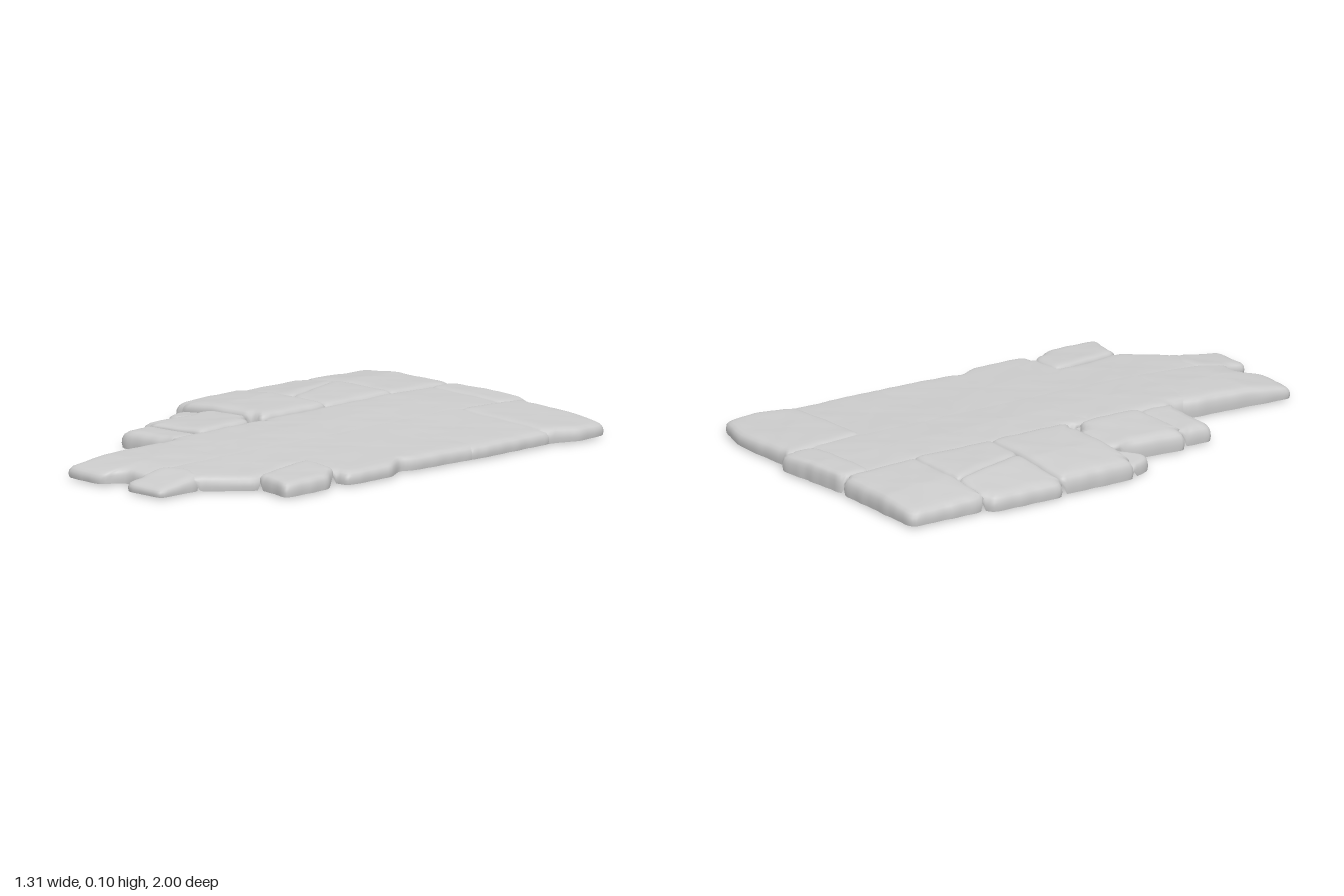
import * as THREE from 'three';

// The paving is an open-bottomed shell, so both sides show
const material = new THREE.MeshStandardMaterial({ color: 0xcccccc, side: THREE.DoubleSide });

// Smooth, repeatable unevenness of worn stone
const wobble = (x, z) =>
  Math.sin(x * 17 + z * 9) * Math.sin(z * 15 - x * 6 + 1) * 0.6 + Math.sin(x * 43 + 2) * Math.sin(z * 39) * 0.4;

// The paving falls away towards its sides and ends
const crown = (x, z) =>
  0.085 - 0.045 * Math.max(0, x) - 0.1 * Math.max(0, -x - 0.43)
  - 0.02 * Math.max(0, z - 0.4) - 0.13 * Math.max(0, z - 0.8) - 0.04 * Math.max(0, -z - 0.65);

const rect = (x0, x1, z0, z1) => [[x0, z0], [x1, z0], [x1, z1], [x0, z1]];

// Split the outline into short steps and soften its corners
function outline(corners, step = 0.02) {
  let pts = [];
  corners.forEach(([x, z], i) => {
    const [x2, z2] = corners[(i + 1) % corners.length];
    const n = Math.max(1, Math.round(Math.hypot(x2 - x, z2 - z) / step));
    for (let k = 0; k < n; k++) {
      pts.push(new THREE.Vector2(x + ((x2 - x) * k) / n, z + ((z2 - z) * k) / n));
    }
  });
  const n = pts.length;
  for (let pass = 0; pass < 2; pass++) {
    pts = pts.map((p, i) => p.clone().multiplyScalar(2).add(pts[(i + n - 1) % n]).add(pts[(i + 1) % n]).divideScalar(4));
  }
  return pts.map((p) => p.clone().addScalar(0.004 * wobble(p.x * 2, p.y * 2)));
}

function inside([x, z], corners) {
  let hit = false;
  corners.forEach(([x1, z1], i) => {
    const [x2, z2] = corners[(i + 1) % corners.length];
    if (z1 > z !== z2 > z && x < x1 + ((z - z1) / (z2 - z1)) * (x2 - x1)) hit = !hit;
  });
  return hit;
}

// Rings of a slab from its foot to the middle of its top: [inset, share of height, scale to centre]
const EDGE = [[0.003, 0, 1], [0, 0.3, 1], [0.002, 0.6, 1], [0.009, 0.82, 1], [0.022, 0.94, 1]];
const RINGS = [...EDGE, ...[1, 0.8, 0.6, 0.4, 0.2, 0].map((s) => [0.042, 1, s])];

// lift raises the top, tilt slopes it along x, base is the height of the foot
function buildSlab({ name, corners, lift = 0, tilt = 0, base = 0.009, round = 1 }, stones) {
  const pts = outline(corners);
  const n = pts.length;
  const box = new THREE.Box2().setFromPoints(pts);
  const half = box.getSize(new THREE.Vector2()).multiplyScalar(0.5);
  const centre = box.getCenter(new THREE.Vector2());
  const moved = (p, inset, scale) => new THREE.Vector2(
    centre.x + (p.x - centre.x) * (1 - inset / half.x) * scale,
    centre.y + (p.y - centre.y) * (1 - inset / half.y) * scale);
  // Sides that meet a neighbour stop at a shallow joint instead of the ground
  const joined = pts.map((p) => {
    const probe = moved(p, -0.025, 1).toArray();
    return stones.some((s) => s.corners !== corners && inside(probe, s.corners));
  });
  const position = [];
  const index = [];
  RINGS.forEach(([inset, share, scale], r) => {
    pts.forEach((p, i) => {
      const q = moved(p, inset * round - (joined[i] ? 0.008 * (1 - share) : 0), scale);
      const top = crown(q.x, q.y) + lift + tilt * (q.x - centre.x) + 0.002 * wobble(q.x, q.y);
      const foot = joined[i] ? Math.min(top, crown(q.x, q.y)) - 0.018 : base;
      position.push(q.x, foot + (top - foot) * share, q.y);
      if (r < RINGS.length - 1) {
        const a = r * n + i, b = r * n + ((i + 1) % n);
        index.push(a, a + n, b, b, a + n, b + n);
      }
    });
  });
  const geometry = new THREE.BufferGeometry();
  geometry.setAttribute('position', new THREE.Float32BufferAttribute(position, 3));
  geometry.setIndex(index);
  geometry.computeVertexNormals();
  const mesh = new THREE.Mesh(geometry, material);
  mesh.name = name;
  return mesh;
}

export function createModel() {
  const stones = [];
  const add = (name, corners, options) => stones.push({ name, corners, ...options });
  // A run of rectangular slabs between successive joints; overlap fuses worn joints
  const addCourse = (name, x0, x1, joints, overlap) =>
    joints.slice(1).forEach((z, i) => add(`${name}Slab${i + 1}`, rect(x0, x1, joints[i] - overlap, z + overlap)));

  // Right-hand edge, back to front
  add('rightBackSlab', rect(-0.625, -0.175, -0.975, -0.655), { lift: 0.008 });
  add('rightMiddleSlab', rect(-0.635, -0.18, -0.325, 0), { lift: 0.016 });
  add('rightFrontSlab', rect(-0.445, -0.18, 0.33, 0.47), { lift: -0.008, tilt: 0.03 });
  add('rightWedgeSlab', [[-0.44, 0], [-0.24, 0.015], [-0.18, 0.08], [-0.18, 0.315], [-0.475, 0.335]], { lift: 0.002, tilt: 0.05 });
  add('brokenShard', [[-0.62, -0.03], [-0.43, -0.02], [-0.46, 0.05], [-0.54, 0.125], [-0.575, 0.09]], { lift: -0.02, base: 0.003, round: 0.6 });

  // Slab split by a slanting crack
  const crack = [[-0.455, -0.655], [-0.36, -0.33]];
  add('crackedSlabOuter', [[-0.655, -0.635], [-0.6, -0.655], ...crack, [-0.655, -0.325]], { lift: 0.008, tilt: 0.03 });
  add('crackedSlabInner', [crack[0], [-0.17, -0.655], [-0.175, -0.32], crack[1]], { lift: 0.011 });

  // Centre column
  add('backCapStone', [[-0.17, -0.97], [0.18, -1.003], [0.175, -0.855], [-0.17, -0.845]], { lift: 0.006, round: 0.7 });
  addCourse('centre', -0.18, 0.2, [-0.84, -0.38, 0.09, 0.54], 0.035);
  add('centreEndSlab', [[-0.19, 0.51], [0.19, 0.51], [0.13, 0.91], [0.04, 0.9], [-0.01, 0.925], [-0.03, 0.985], [-0.215, 0.975]]);

  // Left-hand edge, back to front
  add('leftBackSlab', [[0.175, -0.965], [0.48, -0.975], [0.645, -0.925], [0.658, -0.8], [0.61, -0.65], [0.18, -0.645]], { lift: 0.008 });
  addCourse('left', 0.13, 0.618, [-0.65, -0.29], 0.03);
  add('leftMiddleSlab', [[0.13, -0.33], [0.615, -0.33], [0.6, 0], [0.565, 0.05], [0.62, 0.14], [0.62, 0.37], [0.13, 0.39]]);
  add('leftFrontSlab', [[0.12, 0.2], [0.39, 0.2], [0.4, 0.5], [0.45, 0.67], [0.28, 0.84], [0.12, 0.84]]);
  add('looseCornerStone', [[0.39, 0.355], [0.53, 0.36], [0.615, 0.46], [0.615, 0.68], [0.44, 0.645]], { lift: 0.008, round: 0.8 });
  add('frontEndStone', [[0.11, 0.8], [0.2, 0.76], [0.305, 0.81], [0.295, 1.003], [0.11, 0.998]], { lift: 0.003, round: 0.8 });

  const group = new THREE.Group();
  group.name = 'stonePath';
  stones.forEach((stone) => group.add(buildSlab(stone, stones)));
  return group;
}
